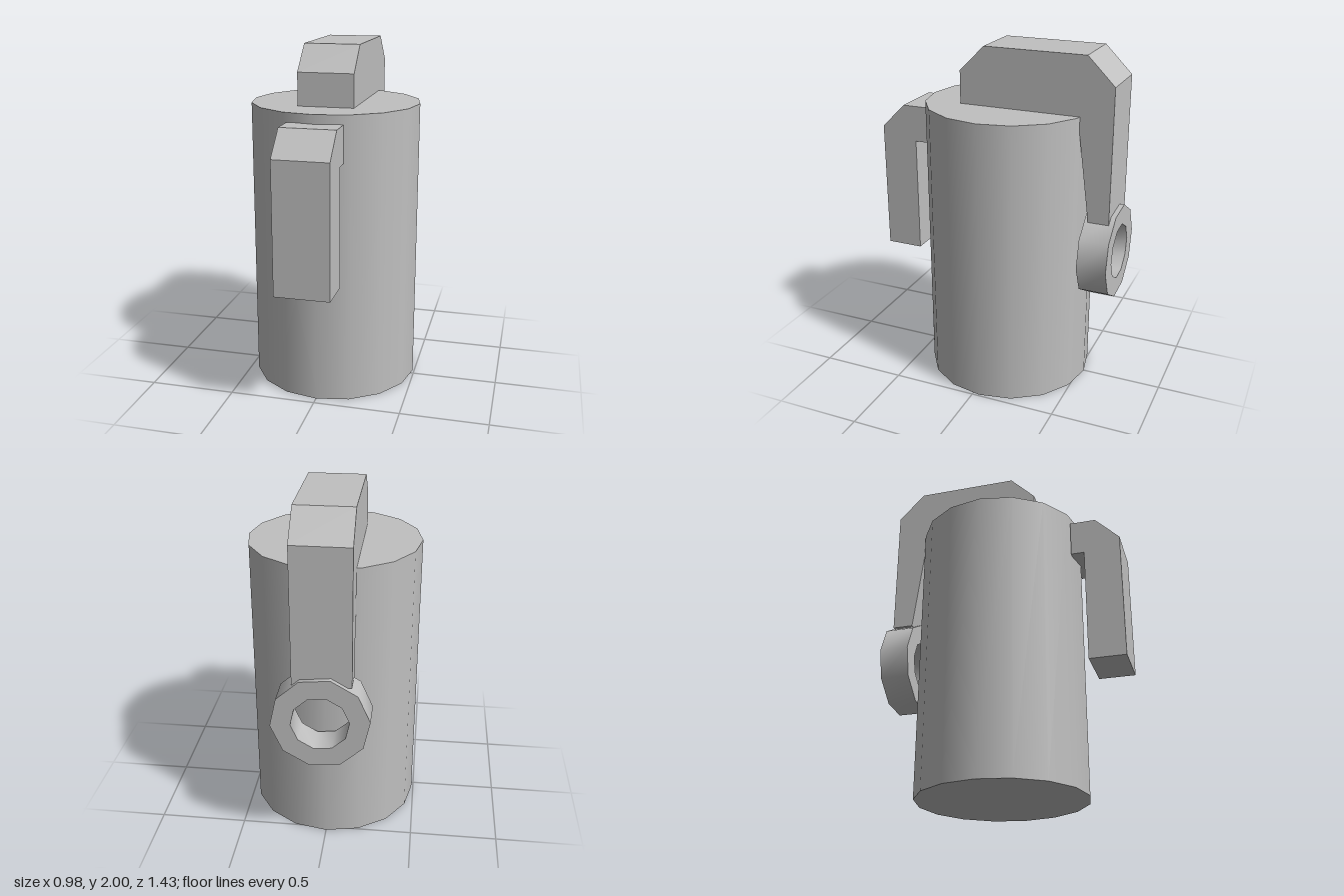
import * as THREE from 'three';
import { toCreasedNormals } from 'three/addons/utils/BufferGeometryUtils.js';

const grey = new THREE.MeshStandardMaterial({ color: 0xc0c0c0 });
grey.name = 'plain grey';

function part(name, geometry) {
  const mesh = new THREE.Mesh(geometry, grey);
  mesh.name = name;
  return mesh;
}

// Side profile given as [z, y] points, extruded across x from xMin to xMax
function sideProfile(points, xMin, xMax) {
  const shape = new THREE.Shape(points.map(([z, y]) => new THREE.Vector2(z, y)));
  const geometry = new THREE.ExtrudeGeometry(shape, { depth: xMax - xMin, bevelEnabled: false });
  return geometry.rotateY(-Math.PI / 2).translate(xMax, 0, 0);
}

// Corners of a regular polygon
function polygon(radius, sides, turn) {
  return Array.from({ length: sides }, (_, i) => {
    const a = turn + (i / sides) * Math.PI * 2;
    return new THREE.Vector2(radius * Math.cos(a), radius * Math.sin(a));
  });
}

export function createModel() {
  const model = new THREE.Group();
  model.name = 'canister';

  // Sixteen-sided body
  const body = part('body', new THREE.CylinderGeometry(0.49, 0.49, 1.667, 16));
  body.position.set(0, 0.8335, -0.04);
  model.add(body);

  // Lever over the top and down the back
  model.add(part('lever', sideProfile([
    [0.205, 1.66], [0.205, 1.855], [0.06, 2], [-0.53, 2], [-0.685, 1.845],
    [-0.685, 1.07], [-0.565, 1.07], [-0.5, 1.57], [-0.495, 1.66],
  ], -0.162, 0.16)));

  // Hooked handle at the front
  model.add(part('frontHandle', sideProfile([
    [0.425, 1.615], [0.575, 1.615], [0.715, 1.475], [0.715, 0.725],
    [0.502, 0.725], [0.502, 1.405], [0.425, 1.405],
  ], -0.159, 0.155)));

  // Pull ring under the lever
  const turn = -0.1;
  const ringShape = new THREE.Shape(polygon(0.272, 10, turn));
  ringShape.holes.push(new THREE.Path(polygon(0.16, 10, turn)));
  const ring = part('pullRing', toCreasedNormals(
    new THREE.ExtrudeGeometry(ringShape, { depth: 0.17, bevelEnabled: false }), 0.8));
  ring.position.set(0.007, 0.856, -0.713);
  model.add(ring);

  return model;
}
